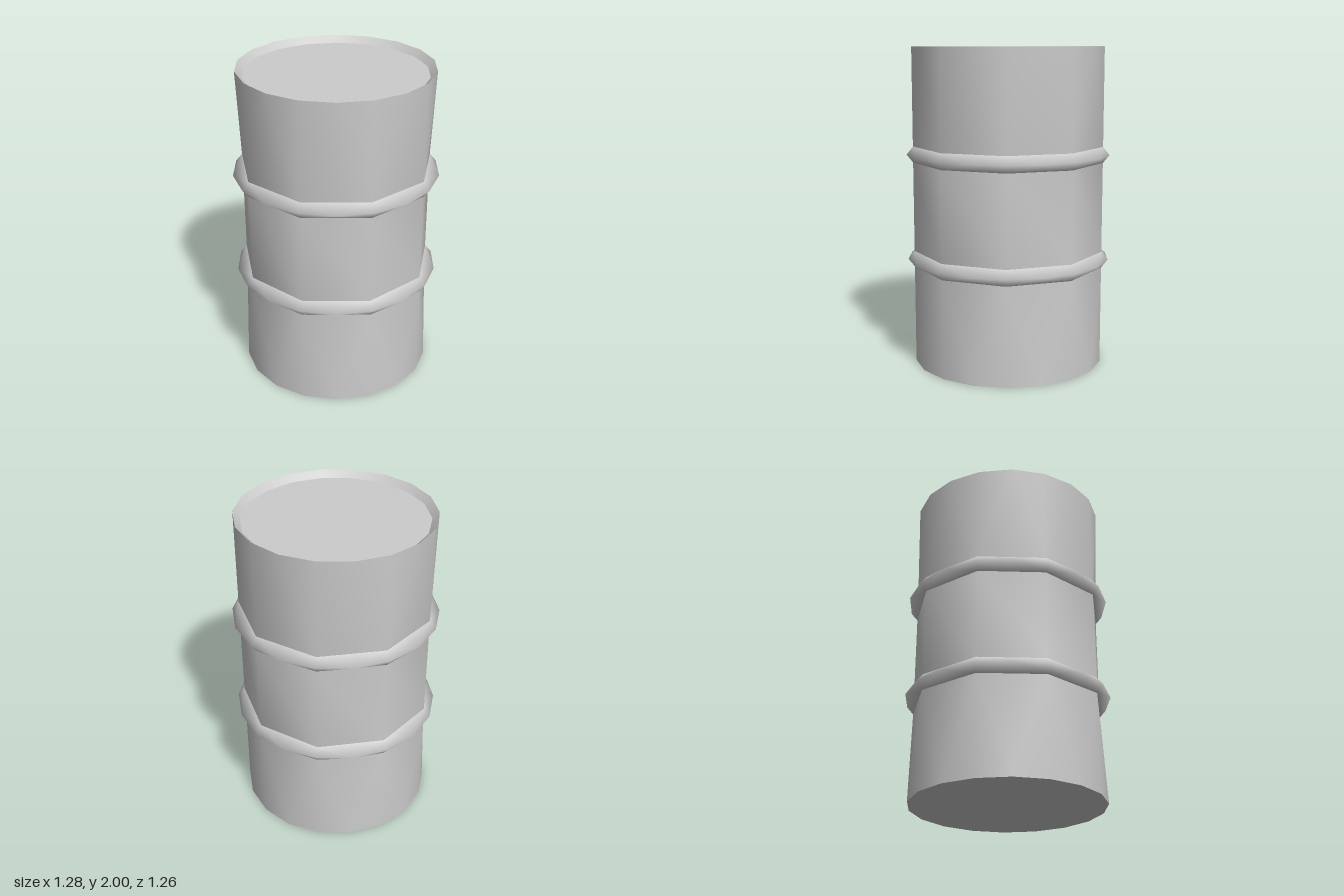
import * as THREE from 'three';

const SIDES = 18;
const RADIUS = 0.6;
const TIP = 0.64;
const material = new THREE.MeshStandardMaterial({ color: 0xcccccc });

// Smooth band through rings [radius, y, coarse]; a coarse ring keeps every second corner (9 sides)
function band(rings) {
  const positions = [];
  const index = [];
  const step = (Math.PI * 2) / SIDES;
  rings.forEach(([r, y, coarse]) => {
    for (let i = 0; i < SIDES; i++) {
      const rr = coarse && i % 2 === 0 ? r * Math.cos(step) : r;
      positions.push(rr * Math.cos(i * step), y, rr * Math.sin(i * step));
    }
  });
  for (let j = 0; j < rings.length - 1; j++) {
    const low = (i) => j * SIDES + (i % SIDES);
    const high = (i) => (j + 1) * SIDES + (i % SIDES);
    const lowMid = !rings[j][2];
    const highMid = !rings[j + 1][2];
    for (let p = 1; p < SIDES; p += 2) {
      const m = p + 1;
      const q = p + 2;
      // Outline of one 40 degree panel, fanned from a middle corner where there is one
      let loop;
      if (lowMid) loop = [low(m), low(p), high(p), ...(highMid ? [high(m)] : []), high(q), low(q)];
      else loop = [...(highMid ? [high(m)] : []), high(q), low(q), low(p), high(p)];
      for (let k = 1; k < loop.length - 1; k++) index.push(loop[0], loop[k], loop[k + 1]);
    }
  }
  const geometry = new THREE.BufferGeometry();
  geometry.setAttribute('position', new THREE.Float32BufferAttribute(positions, 3));
  geometry.setIndex(index);
  geometry.computeVertexNormals();
  return geometry;
}

export function createModel() {
  const barrel = new THREE.Group();
  barrel.name = 'barrel';
  const add = (name, geometry) => {
    const mesh = new THREE.Mesh(geometry, material);
    mesh.name = name;
    barrel.add(mesh);
    return mesh;
  };

  // Walls: round at the ends, coarser where they meet the hoops
  add('lowerWall', band([[RADIUS, 0, false], [RADIUS, 0.62, true]]));
  add('middleWall', band([[RADIUS, 0.72, true], [RADIUS, 1.285, true]]));
  add('upperWall', band([[RADIUS, 1.385, true], [RADIUS, 2, false]]));

  // Raised hoops
  [['lowerHoop', 0.62, 0.72], ['upperHoop', 1.285, 1.385]].forEach(([name, y0, y1]) => {
    add(name, band([[RADIUS, y0, true], [TIP, (y0 + y1) / 2, false], [RADIUS, y1, true]]));
  });

  // Sloped rim, sunken lid and flat base
  add('rim', band([[RADIUS, 2, false], [0.56, 1.96, false]]));
  add('lid', new THREE.CircleGeometry(0.56, SIDES).rotateX(-Math.PI / 2)).position.y = 1.96;
  add('base', new THREE.CircleGeometry(RADIUS, SIDES).rotateX(Math.PI / 2));

  return barrel;
}
